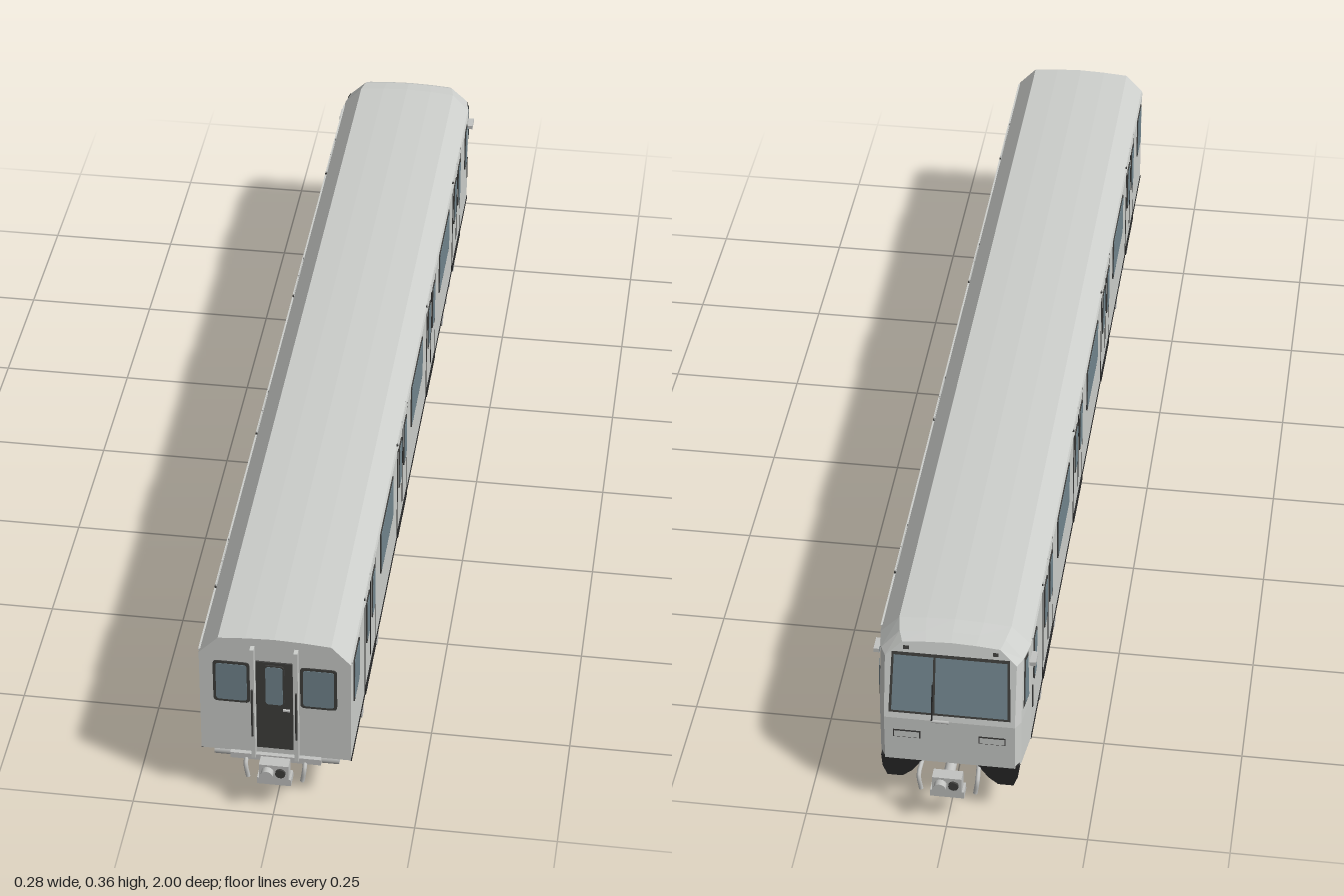
import * as THREE from 'three';

const mat = (name, color, side = THREE.FrontSide) => {
  const m = new THREE.MeshStandardMaterial({ color, side });
  m.name = name;
  return m;
};

export function createModel() {
  const paint = mat('bodyGrey', 0xcdcfcc, THREE.DoubleSide);
  const steel = mat('underframeGrey', 0xc2c3c1);
  const glass = mat('glass', 0x72868e, THREE.DoubleSide);
  const dark = mat('darkTrim', 0x3f3f3d, THREE.DoubleSide);
  const black = mat('black', 0x272727);
  const car = new THREE.Group();
  car.name = 'metroCar';

  const add = (name, geo, m, x = 0, y = 0, z = 0, parent = car) => {
    const mesh = new THREE.Mesh(geo, m);
    mesh.name = name;
    mesh.position.set(x, y, z);
    parent.add(mesh);
    return mesh;
  };
  const box = (name, m, w, h, d, x, y, z, parent) =>
    add(name, new THREE.BoxGeometry(w, h, d), m, x, y, z, parent);
  const rod = (name, m, r, len, axis, x, y, z, parent, n = 20) => {
    const g = new THREE.CylinderGeometry(r, r, len, n);
    if (axis === 'x') g.rotateZ(Math.PI / 2);
    if (axis === 'z') g.rotateX(Math.PI / 2);
    return add(name, g, m, x, y, z, parent);
  };
  const poly = (pts) => new THREE.Shape(pts.map((p) => new THREE.Vector2(...p)));
  const extrude = (shape, depth) =>
    new THREE.ExtrudeGeometry(shape, { depth, bevelEnabled: false, curveSegments: 5 });
  const rounded = (w, h, r) => {
    const s = new THREE.Shape(), a = w / 2, b = h / 2;
    s.moveTo(-a + r, -b).lineTo(a - r, -b).quadraticCurveTo(a, -b, a, -b + r);
    s.lineTo(a, b - r).quadraticCurveTo(a, b, a - r, b).lineTo(-a + r, b);
    s.quadraticCurveTo(-a, b, -a, b - r).lineTo(-a, -b + r).quadraticCurveTo(-a, -b, -a + r, -b);
    return s;
  };
  // Framed pane facing +z, later turned to its wall
  const pane = (name, w, h, x, y, z, turn = 0, rim = 0.005) => {
    const g = new THREE.Group();
    g.name = name;
    add('windowFrame', extrude(rounded(w, h, 0.008), 0.002), dark, 0, 0, 0, g);
    add('windowGlass', extrude(rounded(w - 2 * rim, h - 2 * rim, 0.006), 0.0012), glass, 0, 0, 0.0015, g);
    g.position.set(x, y, z);
    g.rotation.y = turn;
    car.add(g);
  };

  // Body shell: one profile swept through four sections, tapered and raked at the cab
  const half = [[0.132, 0.105], [0.132, 0.2], [0.132, 0.322], [0.098, 0.358], [0.05, 0.362], [0, 0.364]];
  const endZ = (y) => -0.949 + Math.max(0, y - 0.2) * 0.235;
  const squash = (y, k) => (y > 0.3 ? 0.3 + (y - 0.3) * k : y);
  const profile = [...half, ...half.slice(0, -1).reverse().map(([x, y]) => [-x, y])];
  const sections = [
    (x, y) => [x, y, 0.957],
    (x, y) => [x, y, -0.865],
    (x, y) => [x * 0.94, squash(y, 0.95), endZ(squash(y, 0.95)) + 0.016],
    (x, y) => [x * 0.87, squash(y, 0.8), endZ(squash(y, 0.8))],
  ];
  const n = profile.length, verts = [], idx = [];
  sections.forEach((f) => profile.forEach(([x, y]) => verts.push(...f(x, y))));
  for (let s = 0; s < 3; s++)
    for (let i = 0; i < n; i++) {
      const a = s * n + i, b = s * n + ((i + 1) % n);
      idx.push(a, a + n, b, b, a + n, b + n);
    }
  for (let i = 0; i < (n - 1) / 2; i++) {
    const j = n - 1 - i, e = 3 * n;
    idx.push(i, i + 1, j, i + 1, j - 1, j);
    idx.push(e + i, e + j, e + i + 1, e + i + 1, e + j, e + j - 1);
  }
  let shell = new THREE.BufferGeometry();
  shell.setAttribute('position', new THREE.Float32BufferAttribute(verts, 3));
  shell.setIndex(idx);
  shell = shell.toNonIndexed();
  shell.computeVertexNormals();
  add('bodyShell', shell, paint);

  // Side walls
  const mid = 0.262;
  for (const s of [-1, 1]) {
    const turn = s * Math.PI / 2, X = s * 0.132;
    for (const [z, w] of [[0.895, 0.068], [0.488, 0.176], [0.04, 0.176], [-0.415, 0.172], [-0.816, 0.038]])
      pane('sideWindow', w, 0.096, X, mid, z, turn);
    for (const z of [0.716, 0.264, -0.19, -0.641]) {
      for (const k of [-1, 1]) {
        box('doorLeaf', paint, 0.002, 0.215, 0.064, X, 0.222, z + k * 0.0335);
        pane('doorWindow', 0.041, 0.096, X + s * 0.0008, mid, z + k * 0.036, turn);
        box('doorEdge', dark, 0.003, 0.21, 0.002, X, 0.222, z + k * 0.067);
      }
      box('doorSeam', black, 0.004, 0.17, 0.004, X, 0.228, z);
      box('doorSill', black, 0.006, 0.014, 0.137, X, 0.115, z);
    }
    box('sideSill', black, 0.004, 0.007, 1.82, X - s * 0.001, 0.106, 0.045);
    box('roofGutter', paint, 0.004, 0.003, 1.8, X, 0.322, 0.05);

    // Cab side window laid on the tapered wall
    const q = new THREE.ShapeGeometry(poly([[-0.884, 0.222], [-0.921, 0.222], [-0.904, 0.322], [-0.884, 0.322]]));
    const inner = new THREE.ShapeGeometry(poly([[-0.888, 0.228], [-0.915, 0.228], [-0.901, 0.316], [-0.888, 0.316]]));
    [[q, dark, 0.0015, 'cabSideFrame'], [inner, glass, 0.003, 'cabSideGlass']].forEach(([g, m, off, name]) => {
      const p = g.attributes.position;
      for (let i = 0; i < p.count; i++) {
        const z = p.getX(i), y = p.getY(i);
        const t = (-0.865 - z) / (-0.865 - endZ(y) - 0.016);
        p.setXYZ(i, s * (0.132 - 0.0079 * t + off), y, z);
      }
      g.computeVertexNormals();
      add(name, g, m);
    });
    box('mirror', steel, 0.011, 0.008, 0.03, s * 0.137, 0.29, -0.865);

    // Cab step and door grab rail
    for (const z of [-0.8, -0.832]) box('stepHanger', steel, 0.004, 0.035, 0.003, s * 0.122, 0.09, z);
    for (const y of [0.073, 0.088]) box('stepTread', steel, 0.012, 0.003, 0.034, s * 0.122, y, -0.816);
    box('cabGrabRail', dark, 0.004, 0.05, 0.003, X, 0.19, -0.85);
  }

  // Gangway end with door, windows and posts
  box('endDoor', dark, 0.064, 0.195, 0.006, -0.001, 0.217, 0.957);
  pane('endDoorWindow', 0.036, 0.09, -0.001, 0.264, 0.9595, 0, 0.003);
  box('doorHandle', steel, 0.012, 0.003, 0.006, 0.02, 0.211, 0.961);
  for (const s of [-1, 1]) {
    pane('endWindow', 0.064, 0.09, s * 0.076, 0.263, 0.957);
    box('endPost', paint, 0.007, 0.245, 0.014, s * 0.038, 0.224, 0.962);
    rod('endHandrail', dark, 0.002, 0.105, 'y', s * 0.0385, 0.207, 0.972, car, 8);
    rod('endBumper', steel, 0.01, 0.07, 'x', s * 0.075, 0.096, 0.945);
  }
  box('endThreshold', steel, 0.16, 0.012, 0.02, 0, 0.1, 0.955);

  // Cab face plates laid on the raked wall
  const cabPlate = (name, pts, m, off) => {
    const g = new THREE.ShapeGeometry(poly(pts));
    const p = g.attributes.position;
    for (let i = 0; i < p.count; i++) p.setXYZ(i, -p.getX(i), p.getY(i), endZ(p.getY(i)) - off);
    g.computeVertexNormals();
    add(name, g, m);
  };
  const rect = (a, b, c, d) => [[a, c], [b, c], [b, d], [a, d]];
  cabPlate('windscreenFrame', [[-0.107, 0.212], [0.107, 0.212], [0.103, 0.328], [-0.103, 0.328]], dark, 0.0015);
  cabPlate('windscreenRight', [[-0.026, 0.217], [0.102, 0.217], [0.099, 0.323], [-0.026, 0.323]], glass, 0.003);
  cabPlate('windscreenLeft', [[-0.102, 0.217], [-0.03, 0.217], [-0.03, 0.323], [-0.099, 0.323]], glass, 0.003);
  for (const s of [-1, 1]) {
    const a = s * 0.075;
    cabPlate('headlightRim', rect(a - 0.024, a + 0.024, 0.158, 0.175), dark, 0.0015);
    cabPlate('headlight', rect(a - 0.022, a + 0.022, 0.16, 0.173), paint, 0.003);
    cabPlate('markerLight', rect(s * 0.078 - 0.005, s * 0.078 + 0.005, 0.334, 0.341), dark, 0.002);
  }
  rod('wiperPivot', steel, 0.003, 0.03, 'x', 0.015, 0.204, -0.954, car, 8);
  rod('wiper', black, 0.0015, 0.07, 'y', 0.03, 0.24, -0.947, car, 6).rotation.x = 0.23;

  // Black corner skirts below the cab
  for (const s of [-1, 1]) {
    const pts = [[0.045, 0.11], [0.068, 0.078], [0.085, 0.064], [0.112, 0.064], [0.12, 0.085], [0.122, 0.11]];
    const g = extrude(poly(pts.map(([x, y]) => [s * x, y])), 0.068);
    add('cabSkirt', g, black, 0, 0, -0.948);
  }

  // Underfloor equipment: [x, z, width, length, bottom]
  const gear = [
    [0.07, 0.33, 0.06, 0.1, 0.045], [0.07, 0.18, 0.06, 0.19, 0.042], [0.07, -0.025, 0.06, 0.21, 0.04],
    [0.07, -0.19, 0.06, 0.11, 0.04], [0.07, -0.3, 0.06, 0.1, 0.055], [-0.06, 0.415, 0.06, 0.05, 0.07],
    [-0.05, 0.34, 0.09, 0.09, 0.04], [-0.05, 0.24, 0.09, 0.09, 0.04], [-0.05, 0.14, 0.09, 0.09, 0.035],
    [-0.05, 0.03, 0.09, 0.11, 0.04], [-0.05, -0.08, 0.09, 0.09, 0.045], [-0.055, -0.27, 0.11, 0.16, 0.045],
  ];
  for (const [x, z, w, len, low] of gear)
    box('equipmentBox', steel, w, 0.108 - low, len, x, (0.108 + low) / 2, z);
  box('centreSill', steel, 0.03, 0.02, 1.85, 0, 0.098, 0);

  // Bogies
  const frame = poly([[-0.185, 0.078], [-0.17, 0.09], [-0.125, 0.098], [-0.085, 0.097], [-0.055, 0.076],
    [0.055, 0.076], [0.085, 0.097], [0.125, 0.098], [0.17, 0.09], [0.185, 0.078],
    [0.165, 0.076], [0.12, 0.084], [0.09, 0.082], [0.055, 0.052], [-0.055, 0.052], [-0.09, 0.082],
    [-0.12, 0.084], [-0.165, 0.076]]);
  for (const z of [0.658, -0.58]) {
    const b = new THREE.Group();
    b.name = 'bogie';
    b.position.z = z;
    car.add(b);
    for (const a of [-0.102, 0.102]) {
      rod('axle', steel, 0.011, 0.22, 'x', 0, 0.046, a, b);
      for (const s of [-1, 1]) {
        rod('wheel', steel, 0.044, 0.01, 'x', s * 0.078, 0.046, a, b, 32);
        rod('wheelFlange', steel, 0.046, 0.003, 'x', s * 0.0725, 0.046, a, b, 32);
        rod('wheelHub', steel, 0.018, 0.018, 'x', s * 0.078, 0.046, a, b);
        box('axleBox', steel, 0.026, 0.028, 0.032, s * 0.107, 0.048, a, b);
        rod('axleCap', steel, 0.013, 0.01, 'x', s * 0.121, 0.048, a, b);
        for (const k of [-1, 1]) {
          box('springSeat', steel, 0.026, 0.006, 0.024, s * 0.106, 0.036, a + k * 0.026, b);
          for (let i = 0; i < 5; i++) {
            const coil = new THREE.TorusGeometry(0.009, 0.0023, 6, 14).rotateX(Math.PI / 2);
            add('springCoil', coil, steel, s * 0.106, 0.043 + i * 0.009, a + k * 0.026, b);
          }
        }
      }
    }
    for (const s of [-1, 1]) {
      const g = extrude(frame, 0.018).rotateY(Math.PI / 2);
      add('sideFrame', g, steel, s * 0.107 - 0.009, 0, 0, b);
      rod('airSpring', steel, 0.028, 0.024, 'y', s * 0.095, 0.094, 0, b, 24);
      box('springPlank', steel, 0.022, 0.016, 0.075, s * 0.107, 0.038, 0, b);
      for (const k of [-1, 1]) {
        rod('damper', steel, 0.005, 0.05, 'y', s * 0.121, 0.066, k * 0.032, b, 10);
        rod('tractionMotor', steel, 0.022, 0.08, 'x', 0, 0.058, k * 0.05, b);
      }
    }
    box('bolster', steel, 0.2, 0.024, 0.06, 0, 0.074, 0, b);
    for (const k of [-1, 1]) rod('endTransom', steel, 0.008, 0.22, 'x', 0, 0.081, k * 0.172, b, 12);
  }

  // Couplers at both ends
  for (const s of [-1, 1]) {
    const c = new THREE.Group();
    c.name = 'coupler';
    car.add(c);
    rod('drawbar', steel, 0.01, 0.1, 'z', 0, 0.088, s * 0.925, c);
    box('couplerHead', steel, 0.052, 0.032, 0.022, 0, 0.087, s * 0.976, c);
    box('electricHead', steel, 0.06, 0.014, 0.026, 0, 0.064, s * 0.972, c);
    rod('couplerCone', steel, 0.011, 0.014, 'z', s * -0.011, 0.088, s * 0.993, c);
    rod('couplerCup', dark, 0.009, 0.006, 'z', s * 0.012, 0.088, s * 0.988, c);
    for (const k of [-1, 1]) {
      const path = new THREE.CatmullRomCurve3([
        new THREE.Vector3(k * 0.05, 0.1, s * 0.94), new THREE.Vector3(k * 0.052, 0.09, s * 0.97),
        new THREE.Vector3(k * 0.048, 0.06, s * 0.972)]);
      add('brakeHose', new THREE.TubeGeometry(path, 10, 0.004, 8), steel, 0, 0, 0, c);
    }
  }
  return car;
}
